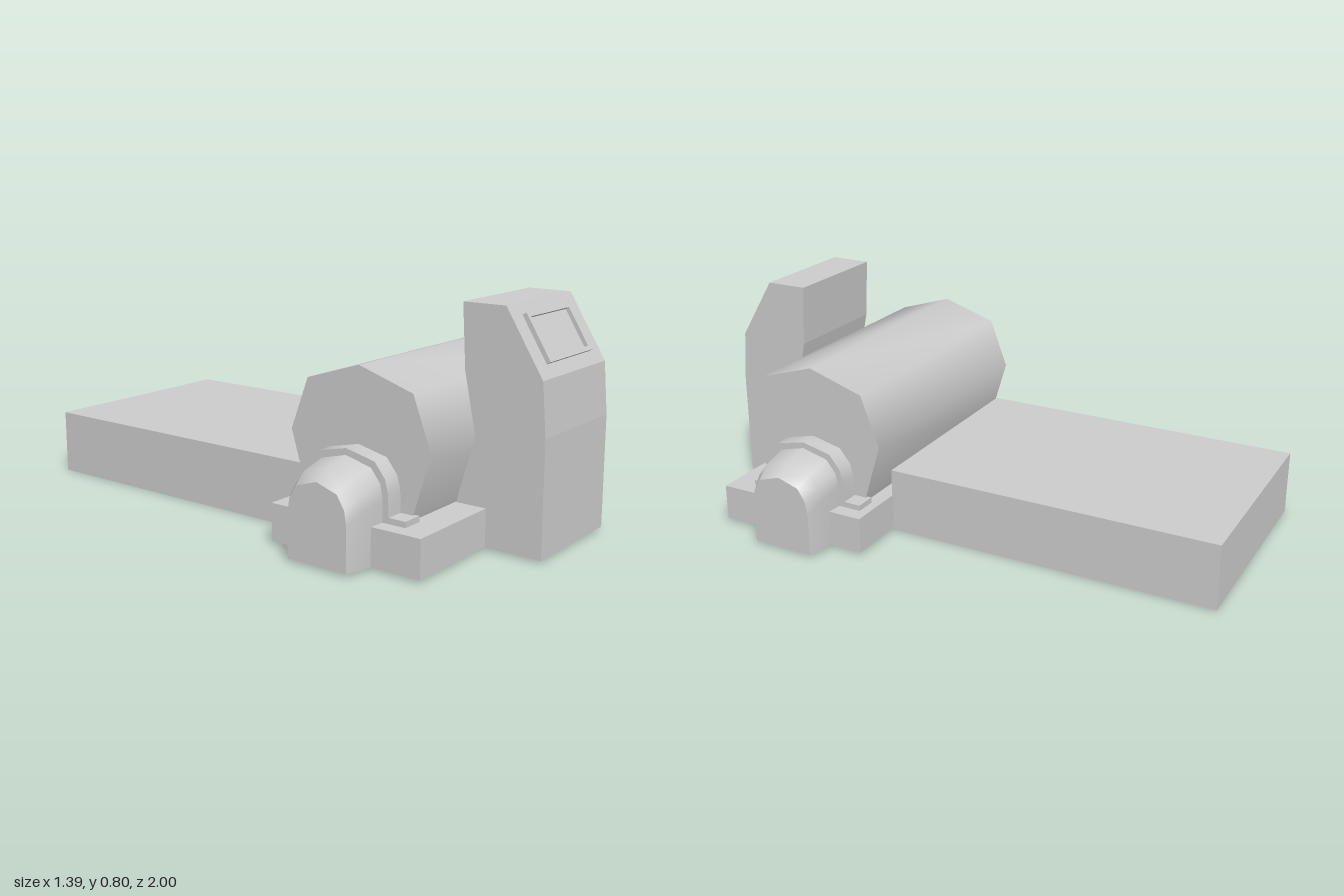
import * as THREE from 'three';

const material = new THREE.MeshStandardMaterial({ color: 0xcccccc, side: THREE.DoubleSide });

function add(parent, name, geometry) {
  const mesh = new THREE.Mesh(geometry, material);
  mesh.name = name;
  parent.add(mesh);
  return mesh;
}

// Removes the faces lying on the lowest plane, leaving a hollow shell
function openBottom(source) {
  const geo = source.index ? source.toNonIndexed() : source;
  geo.computeBoundingBox();
  const limit = geo.boundingBox.min.y + 1e-4;
  const p = geo.attributes.position;
  const kept = [];
  for (let i = 0; i < p.count; i += 3) {
    if (Math.max(p.getY(i), p.getY(i + 1), p.getY(i + 2)) > limit) kept.push(i, i + 1, i + 2);
  }
  geo.clearGroups();
  geo.setIndex(kept);
  return geo;
}

function box(x0, x1, y0, y1, z0, z1) {
  return new THREE.BoxGeometry(x1 - x0, y1 - y0, z1 - z0)
    .translate((x0 + x1) / 2, (y0 + y1) / 2, (z0 + z1) / 2);
}

// Smooth skin through cross-sections along x; each section is { x, pts: [z, y] from front over to back }
function loft(sections) {
  const n = sections[0].pts.length;
  const pos = [], index = [];
  for (const s of sections) for (const [z, y] of s.pts) pos.push(s.x, y, z);
  for (let i = 0; i < sections.length - 1; i++) {
    for (let j = 0; j < n - 1; j++) {
      const a = i * n + j, b = a + n;
      index.push(a, b, a + 1, a + 1, b, b + 1);
    }
  }
  const geo = new THREE.BufferGeometry();
  geo.setAttribute('position', new THREE.Float32BufferAttribute(pos, 3));
  geo.setIndex(index);
  geo.computeVertexNormals();
  return geo;
}

// Flat end face for a section, facing +x or -x
function endFace({ x, pts }, facing) {
  const pos = [], index = [];
  for (const [z, y] of pts) pos.push(x, y, z);
  for (let j = 1; j < pts.length - 1; j++) {
    if (facing > 0) index.push(0, j + 1, j);
    else index.push(0, j, j + 1);
  }
  const geo = new THREE.BufferGeometry();
  geo.setAttribute('position', new THREE.Float32BufferAttribute(pos, 3));
  geo.setIndex(index);
  geo.computeVertexNormals();
  return geo;
}

const AXIS_Z = 0.477;

// Arch outline from half profile [half width, y], mirrored about the drum axis
function arch(x, half) {
  const front = half.map(([w, y]) => [AXIS_Z + w, y]);
  const back = half.filter(([w]) => w > 0).reverse().map(([w, y]) => [AXIS_Z - w, y]);
  return { x, pts: [...front, ...back] };
}

// Rounded housing section with given half width and top height
function housingSection(x, w, top) {
  return arch(x, [[w, 0.01], [w, top - 0.12], [w * 0.93, top - 0.07], [w * 0.68, top - 0.025], [0, top]]);
}

function rectangle(Type, w, h) {
  const r = new Type();
  r.moveTo(-w / 2, -h / 2);
  r.lineTo(w / 2, -h / 2);
  r.lineTo(w / 2, h / 2);
  r.lineTo(-w / 2, h / 2);
  r.closePath();
  return r;
}

export function createModel() {
  const model = new THREE.Group();
  model.name = 'drumMachine';

  // Low bed at the back and base under the drum, both hollow underneath
  add(model, 'rearBed', openBottom(box(-0.43, 0.38, 0, 0.235, -1, 0.22)));
  add(model, 'base', openBottom(box(-0.6, 0.6, 0.01, 0.14, 0.215, 0.797)));

  // Faceted drum lying across the base
  const drumHalf = [[0.205, 0.14], [0.212, 0.16], [0.274, 0.365], [0.206, 0.545], [0, 0.61]];
  const drumEnds = [arch(-0.48, drumHalf), arch(0.48, drumHalf)];
  const drum = new THREE.Group();
  drum.name = 'drum';
  add(drum, 'drumShell', loft(drumEnds));
  add(drum, 'drumRightEnd', endFace(drumEnds[0], -1));
  add(drum, 'drumLeftEnd', endFace(drumEnds[1], 1));
  model.add(drum);

  // Bearing collar, clamp feet and rounded housing at each end
  for (const side of [1, -1]) {
    const end = new THREE.Group();
    end.name = side > 0 ? 'leftBearing' : 'rightBearing';
    end.scale.x = side;
    const collarHalf = [[0.165, 0.14], [0.162, 0.235], [0.15, 0.28], [0.11, 0.33], [0, 0.355]];
    const collar = [arch(0.47, collarHalf), arch(0.545, collarHalf)];
    add(end, 'collar', loft(collar));
    add(end, 'collarFace', endFace(collar[1], 1));
    for (const f of [1, -1]) {
      const z0 = AXIS_Z + f * 0.16, z1 = AXIS_Z + f * 0.228;
      add(end, 'clampFoot', box(0.47, 0.545, 0.138, 0.16, Math.min(z0, z1), Math.max(z0, z1)));
    }
    const housing = [
      housingSection(0.5, 0.145, 0.342),
      housingSection(0.545, 0.142, 0.333),
      housingSection(0.64, 0.134, 0.313),
      housingSection(0.695, 0.115, 0.28),
    ];
    add(end, 'housing', loft(housing));
    add(end, 'housingFace', endFace(housing[3], 1));
    model.add(end);
  }

  // Control column, its back edge following the drum
  const profile = [
    [0.66, 0.008], [1, 0.008], [1, 0.4], [0.985, 0.58], [0.85, 0.8],
    [0.695, 0.8], [0.708, 0.58], [0.751, 0.37], [0.69, 0.16],
  ].map(([z, y]) => new THREE.Vector2(z, y));
  const column = new THREE.ExtrudeGeometry(new THREE.Shape(profile), { depth: 0.425, bevelEnabled: false });
  column.rotateY(-Math.PI / 2).translate(0.2, 0, 0);
  add(model, 'controlColumn', openBottom(column));

  // Raised frame and screen on the sloping face
  const panel = new THREE.Group();
  panel.name = 'controlPanel';
  const frame = rectangle(THREE.Shape, 0.285, 0.172);
  frame.holes.push(rectangle(THREE.Path, 0.253, 0.14));
  add(panel, 'screenFrame', new THREE.ExtrudeGeometry(frame, { depth: 0.016, bevelEnabled: false }));
  add(panel, 'screen', new THREE.PlaneGeometry(0.253, 0.14)).position.z = 0.002;
  panel.position.set(-0.0175, 0.693, 0.9157);
  panel.rotation.x = -Math.atan2(0.135, 0.22);
  model.add(panel);

  return model;
}
